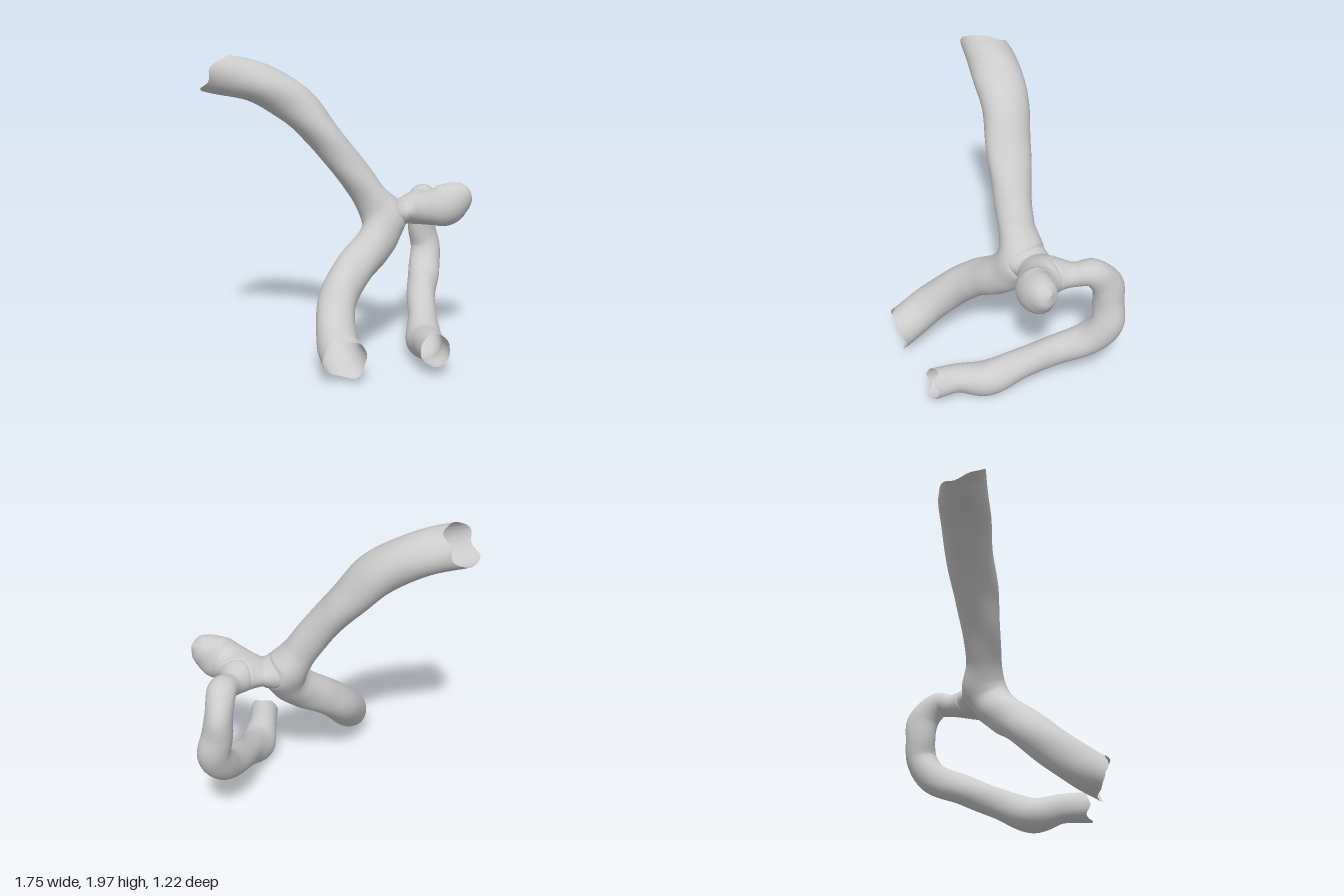
import * as THREE from 'three';
import { mergeVertices } from 'three/addons/utils/BufferGeometryUtils.js';

const SIDES = 32;
const BLEND = 0.14;

// Each point is [x, y, z, radius, depth stretch along z].
const trunkPath = [
  [-0.755, 1.868, -0.43, 0.135, 1.1], [-0.5, 1.8, -0.38, 0.135, 1.2], [-0.29, 1.675, -0.325, 0.132, 1.22],
  [-0.115, 1.475, -0.255, 0.115, 1.3], [0.03, 1.28, -0.195, 0.108, 1.2], [0.165, 1.09, -0.155, 0.108, 1.12],
  [0.25, 0.95, -0.135, 0.112, 1.08], [0.255, 0.83, -0.085, 0.128, 1], [0.15, 0.715, -0.02, 0.128, 1],
  [0.01, 0.61, 0.04, 0.125, 1], [-0.12, 0.48, 0.13, 0.127, 1], [-0.205, 0.33, 0.28, 0.125, 1],
  [-0.235, 0.225, 0.42, 0.13, 1], [-0.23, 0.175, 0.535, 0.135, 1],
];
const budPath = [
  [0.25, 0.935, -0.13, 0.07, 1.2], [0.33, 0.933, -0.14, 0.068, 1.6], [0.41, 0.932, -0.145, 0.068, 1.75],
  [0.5, 0.945, -0.125, 0.085, 1.5], [0.6, 0.96, -0.045, 0.12, 1.05], [0.68, 0.98, 0.0, 0.145, 0.8],
  [0.755, 1.025, 0.012, 0.12, 0.85], [0.82, 1.06, 0.01, 0.075, 0.95], [0.853, 1.075, 0.005, 0.002, 1],
];
const loopPath = [
  [0.5, 0.945, -0.13, 0.05, 1], [0.57, 0.95, -0.2, 0.075, 1], [0.635, 0.95, -0.3, 0.075, 1],
  [0.69, 0.97, -0.4, 0.09, 1], [0.72, 0.865, -0.495, 0.088, 1.2], [0.735, 0.72, -0.51, 0.1, 1],
  [0.762, 0.58, -0.495, 0.105, 1], [0.71, 0.435, -0.405, 0.108, 1], [0.6, 0.325, -0.2, 0.1, 1],
  [0.52, 0.225, 0.0, 0.098, 1], [0.44, 0.13, 0.22, 0.118, 1], [0.385, 0.165, 0.4, 0.097, 1],
  [0.36, 0.175, 0.57, 0.1, 1],
];

// Centre line with radius and depth stretch, all as functions of arc length
function makeLine(path) {
  const centre = new THREE.CatmullRomCurve3(path.map(p => new THREE.Vector3(p[0], p[1], p[2])));
  const size = new THREE.CatmullRomCurve3(path.map(p => new THREE.Vector3(p[3], p[4], 0)), false, 'catmullrom');
  const at = u => ({ c: centre.getPointAt(u), s: size.getPoint(centre.getUtoTmapping(u)) });
  const samples = Array.from({ length: 121 }, (_, i) => at(i / 120));
  return { centre, at, samples, rings: path.length * 10 };
}

// Distance and outward direction from a point to the nearest wall of the given lines
function nearestWall(point, lines) {
  const best = { distance: Infinity, normal: new THREE.Vector3() };
  const q = new THREE.Vector3();
  for (const line of lines) {
    for (const { c, s } of line.samples) {
      q.copy(point).sub(c);
      q.z /= s.y;
      const distance = q.length() - s.x;
      if (distance < best.distance) {
        best.distance = distance;
        best.normal.copy(q).normalize();
      }
    }
  }
  return best;
}

// Organic tube of varying radius, its wall swelling where it meets the other lines;
// startCut and endCut slant its open rims.
function vessel(name, line, others, material, { startCut, endCut, phase = 0 } = {}) {
  const { centre, rings } = line;
  const geometry = new THREE.TubeGeometry(centre, rings, 1, SIDES);
  const pos = geometry.attributes.position;
  const length = centre.getLength();
  const offset = new THREE.Vector3();
  const normal = new THREE.Vector3();

  for (let i = 0; i <= rings; i++) {
    const u = i / rings;
    const { c, s } = line.at(u);
    const tangent = centre.getTangentAt(u);
    for (let j = 0; j <= SIDES; j++) {
      const index = i * (SIDES + 1) + j;
      const a = (j % SIDES) / SIDES * Math.PI * 2;
      // Gentle lumps along the wall
      const along = u * length;
      const lump = 1 + 0.02 * Math.sin(2 * a + along * 9 + phase) + 0.02 * Math.sin(3 * a - along * 14 + phase);
      offset.fromBufferAttribute(pos, index).sub(c).multiplyScalar(s.x * lump);
      offset.z *= s.y;
      normal.copy(offset).normalize();
      // Slanted, ragged rims fading into the tube
      const ragged = 0.014 * Math.sin(3 * a + phase) + 0.01 * Math.sin(5 * a + 1);
      let slide = 0;
      if (startCut) slide -= (offset.dot(startCut) + ragged) * Math.max(0, 1 - u / 0.1) ** 2;
      if (endCut) slide += (offset.dot(endCut) + ragged) * Math.max(0, 1 - (1 - u) / 0.1) ** 2;
      offset.addScaledVector(tangent, slide).add(c);
      // Smooth fillet at the junctions
      const wall = nearestWall(offset, others);
      const h = Math.max(0, 1 - Math.abs(wall.distance) / BLEND);
      if (h > 0) {
        normal.lerp(wall.normal, 0.5 * (1 - wall.distance / BLEND));
        offset.addScaledVector(normal, h * h * BLEND / 4 / Math.max(normal.lengthSq(), 0.4));
      }
      pos.setXYZ(index, offset.x, offset.y, offset.z);
    }
  }

  // Weld the seam for smooth shading
  geometry.deleteAttribute('uv');
  geometry.deleteAttribute('normal');
  const welded = mergeVertices(geometry, 1e-5);
  welded.computeVertexNormals();
  const mesh = new THREE.Mesh(welded, material);
  mesh.name = name;
  return mesh;
}

export function createModel() {
  const group = new THREE.Group();
  group.name = 'branchingVessel';
  const material = new THREE.MeshStandardMaterial({ color: 0xcccccc, side: THREE.DoubleSide });
  const [trunk, bud, loop] = [trunkPath, budPath, loopPath].map(makeLine);

  // Long trunk running from the upper opening down to the front right opening
  group.add(vessel('mainTrunk', trunk, [bud, loop], material, {
    startCut: new THREE.Vector3(0, -0.45, 0.45), endCut: new THREE.Vector3(0.25, -0.2, 0),
  }));
  // Flat neck leading to the closed, rounded bulge
  group.add(vessel('neckAndBulge', bud, [trunk, loop], material, { phase: 1.3 }));
  // Side branch looping behind and returning to the front
  group.add(vessel('loopingBranch', loop, [trunk, bud], material, {
    endCut: new THREE.Vector3(0, -0.1, 0), phase: 2.1,
  }));
  return group;
}
